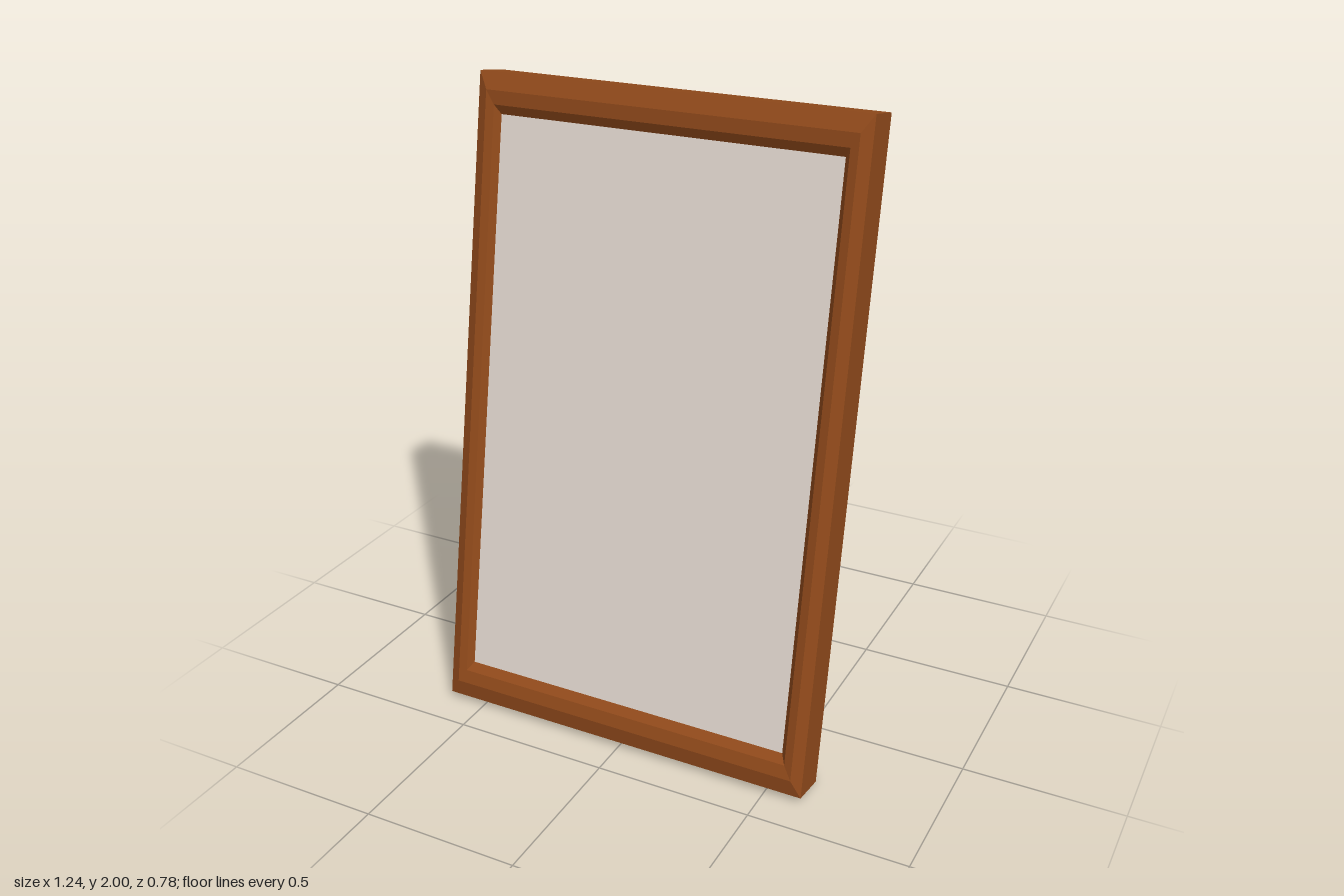
import * as THREE from 'three';

const TILT = THREE.MathUtils.degToRad(10);
const HALF_W = 0.62, LENGTH = 2.009;
const SIDE = HALF_W; // side rails are narrower than top and bottom by this ratio
const PANEL_BACK = 0.066, PANEL_FRONT = 0.115;
const BASE_Z = 0.262; // lower back edge of the frame

const wood = new THREE.MeshStandardMaterial({ color: 0x914a1b });
const pale = new THREE.MeshStandardMaterial({ color: 0xe4d9d0 });

// Moulding section: [inset from the outer edge, depth from the back]
const MOULDING = [
  [0, 0], [0, 0.124], [0.053, 0.139], [0.095, 0.134],
  [0.122, 0.115], [0.122, 0.1], [0.1, 0.085], [0.1, 0],
];
const CORNERS = [[-1, 0], [1, 0], [1, 1], [-1, 1]];

// Mitred ring made by carrying the section round four corners
function frameGeometry() {
  const positions = [], index = [], n = MOULDING.length;
  for (const [sx, top] of CORNERS) {
    for (const [inset, depth] of MOULDING) {
      positions.push(sx * (HALF_W - inset * SIDE), top ? LENGTH - inset : inset, depth);
    }
  }
  for (let c = 0; c < 4; c++) {
    for (let p = 0; p < n; p++) {
      const c2 = (c + 1) % 4, p2 = (p + 1) % n;
      const a = c * n + p, b = c2 * n + p, d = c2 * n + p2, e = c * n + p2;
      index.push(a, b, d, a, d, e);
    }
  }
  const geometry = new THREE.BufferGeometry();
  geometry.setAttribute('position', new THREE.Float32BufferAttribute(positions, 3));
  geometry.setIndex(index);
  const flat = geometry.toNonIndexed();
  flat.computeVertexNormals();
  return flat;
}

// Slanting prop: a slightly twisted box whose top end lies on the back of the panel
function legGeometry() {
  const panelZ = (y) => BASE_Z + (PANEL_BACK + 0.002) / Math.cos(TILT) - y * Math.tan(TILT);
  const topXY = { '1,1': [0.079, 0.937], '1,-1': [0.12, 0.986], '-1,1': [-0.12, 1.04], '-1,-1': [-0.079, 1.089] };
  const geometry = new THREE.BoxGeometry(2, 2, 2);
  const pos = geometry.attributes.position;
  for (let i = 0; i < pos.count; i++) {
    const sx = pos.getX(i), sz = pos.getZ(i);
    if (pos.getY(i) > 0) {
      const [x, y] = topXY[`${sx},${sz}`];
      pos.setXYZ(i, x, y, panelZ(y));
    } else {
      pos.setXYZ(i, sx > 0 ? -0.145 : -0.37, 0.01, sz > 0 ? -0.32 : -0.387);
    }
  }
  geometry.computeVertexNormals();
  return geometry;
}

function addMesh(parent, name, geometry, material) {
  const mesh = new THREE.Mesh(geometry, material);
  mesh.name = name;
  parent.add(mesh);
  return mesh;
}

export function createModel() {
  const model = new THREE.Group();
  model.name = 'pictureFrame';

  // Frame and panel lean back together
  const leaning = new THREE.Group();
  leaning.name = 'leaningFrame';
  leaning.position.z = BASE_Z;
  leaning.rotation.x = -TILT;
  model.add(leaning);

  addMesh(leaning, 'frame', frameGeometry(), wood);

  const panel = addMesh(leaning, 'panel', new THREE.BoxGeometry(
    2 * (HALF_W - 0.1 * SIDE), LENGTH - 0.2, PANEL_FRONT - PANEL_BACK), pale);
  panel.position.set(0, LENGTH / 2, (PANEL_FRONT + PANEL_BACK) / 2);

  addMesh(model, 'backLeg', legGeometry(), wood);
  return model;
}
